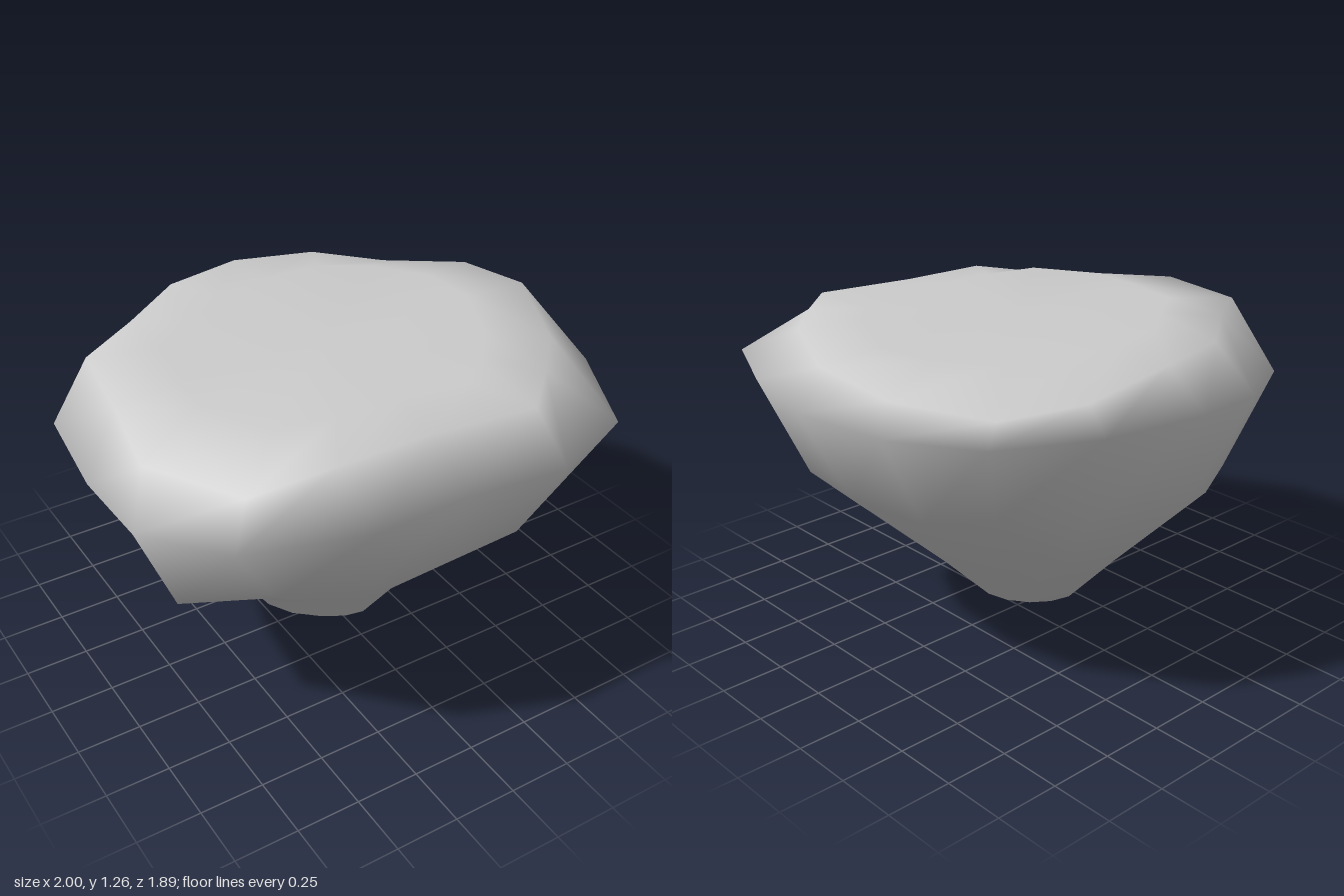
import * as THREE from 'three';
import { mergeVertices } from 'three/addons/utils/BufferGeometryUtils.js';

const SIDES = 16;

// Spread key points into a closed ring, running from +x towards +z
function ring(keys) {
  const curve = new THREE.CatmullRomCurve3(keys.map(k => new THREE.Vector3(...k)), true);
  return Array.from({ length: SIDES }, (_, j) => curve.getPoint(j / SIDES));
}

// A ring shrunk to one point closes an end
const tip = (x, y, z) => Array.from({ length: SIDES }, () => new THREE.Vector3(x, y, z));

// Skin a stack of rings, bottom to top; the first and last are tips
function skin(rings) {
  const pos = [], index = [];
  rings.forEach(r => r.forEach(p => pos.push(p.x, p.y, p.z)));
  for (let i = 0; i < rings.length - 1; i++) {
    for (let j = 0; j < SIDES; j++) {
      const a = i * SIDES + j, b = i * SIDES + (j + 1) % SIDES;
      const c = a + SIDES, d = b + SIDES;
      if (i > 0) index.push(a, c, b);
      if (i < rings.length - 2) index.push(b, c, d);
    }
  }
  let geo = new THREE.BufferGeometry();
  geo.setAttribute('position', new THREE.Float32BufferAttribute(pos, 3));
  geo.setIndex(index);
  geo = mergeVertices(geo, 1e-4);
  geo.computeVertexNormals();
  return geo;
}

export function createModel() {
  const group = new THREE.Group();

  // Tapering underside
  const foot = ring([[0.16, 0.11, 0], [0.09, 0.12, 0.17], [0, 0.13, 0.26], [-0.15, 0.12, 0.19],
    [-0.29, 0.11, 0], [-0.22, 0.12, -0.15], [-0.05, 0.12, -0.25], [0.1, 0.12, -0.18]]);
  const waist = ring([[0.38, 0.33, 0], [0.25, 0.34, 0.29], [0, 0.37, 0.44], [-0.21, 0.31, 0.32],
    [-0.45, 0.33, -0.05], [-0.31, 0.36, -0.35], [-0.05, 0.37, -0.49], [0.2, 0.41, -0.46]]);
  const flank = ring([[0.81, 0.73, 0], [0.75, 0.71, 0.34], [0.6, 0.68, 0.6], [0.35, 0.7, 0.74],
    [0.04, 0.72, 0.77], [-0.25, 0.68, 0.71], [-0.55, 0.63, 0.53], [-0.83, 0.57, 0.31],
    [-0.81, 0.61, -0.08], [-0.79, 0.7, -0.37], [-0.5, 0.68, -0.63], [-0.22, 0.7, -0.78],
    [0, 0.73, -0.86], [0.34, 0.7, -0.71], [0.6, 0.76, -0.54], [0.74, 0.72, -0.32]]);

  // Widest outline
  const belt = ring([[1, 1.1, 0.02], [0.91, 1.1, 0.41], [0.73, 1.08, 0.8], [0.38, 1.08, 0.94],
    [0, 1.08, 0.89], [-0.37, 1.08, 0.9], [-0.8, 1.04, 0.72], [-0.97, 0.93, 0.3],
    [-1, 0.97, 0], [-0.96, 1, -0.39], [-0.69, 1.04, -0.7], [-0.33, 1.08, -0.89],
    [0.01, 1.11, -0.95], [0.4, 1.1, -0.86], [0.75, 1.1, -0.68], [0.94, 1.1, -0.37]]);

  // Uneven rim, and the flat top drawn in from it
  const rim = ring([[0.91, 1.25, 0], [0.72, 1.25, 0.41], [0.54, 1.25, 0.6], [0.36, 1.245, 0.77],
    [-0.04, 1.24, 0.71], [-0.4, 1.235, 0.7], [-0.7, 1.17, 0.62], [-0.9, 1.16, 0.26],
    [-0.87, 1.24, 0], [-0.81, 1.24, -0.38], [-0.56, 1.25, -0.53], [-0.29, 1.25, -0.73],
    [0.03, 1.25, -0.79], [0.4, 1.2, -0.78], [0.66, 1.16, -0.62], [0.88, 1.21, -0.34]]);
  const top = rim.map(p => new THREE.Vector3(p.x * 0.7, 1.262, p.z * 0.7));

  const rock = new THREE.Mesh(
    skin([tip(-0.07, 0, 0.02), foot, waist, flank, belt, rim, top, tip(0, 1.262, 0)]),
    new THREE.MeshStandardMaterial({ color: 0xcccccc }));
  rock.name = 'rock';
  group.add(rock);
  return group;
}
